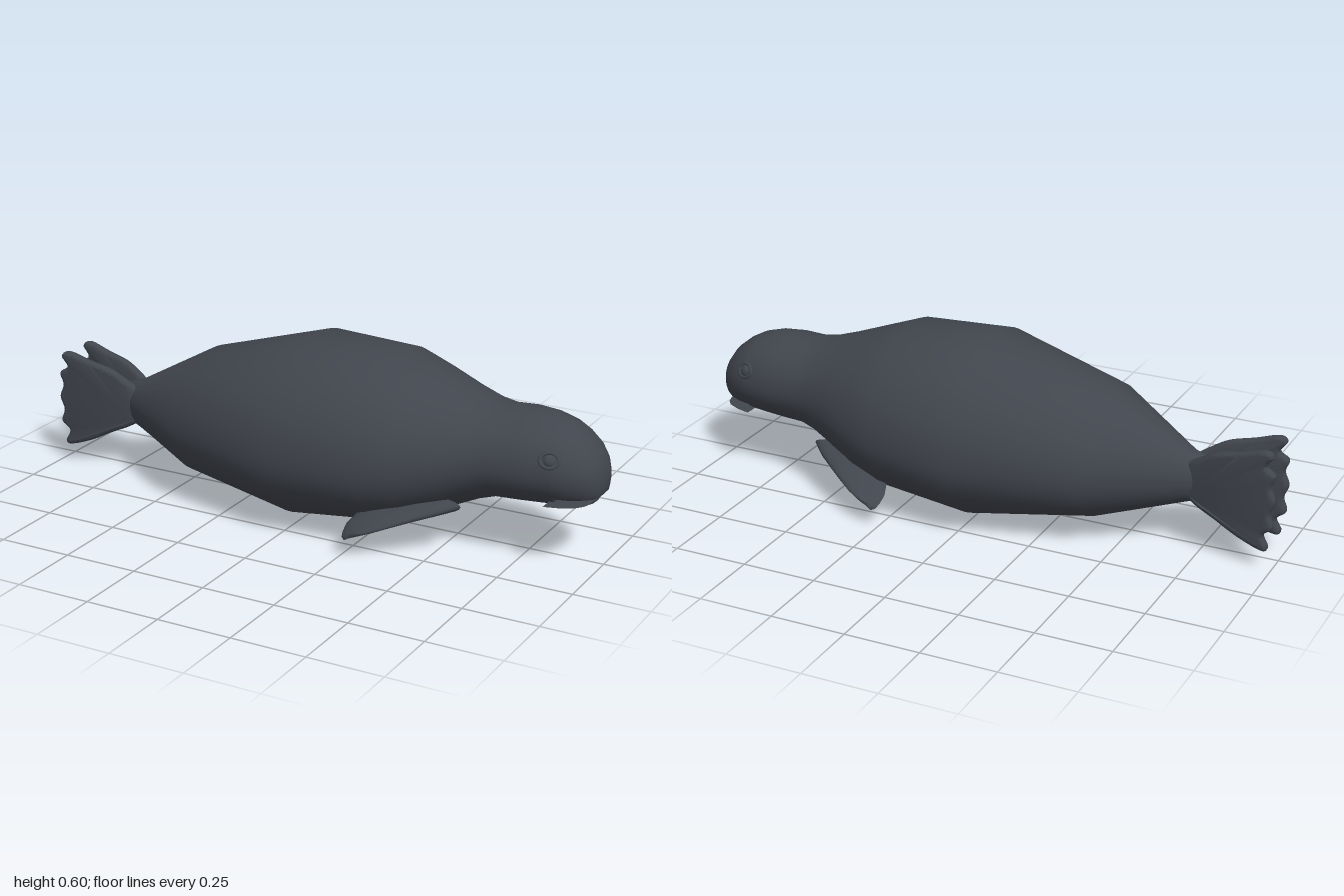
import * as THREE from 'three';
import { toCreasedNormals } from 'three/addons/utils/BufferGeometryUtils.js';

const skin = new THREE.MeshStandardMaterial({ color: 0x41454d });
skin.name = 'dark slate skin';

// Skin a list of rings (arrays of [x, y, z]) and close both ends
function loft(rings, flip = false, crease = 0.7) {
  const n = rings[0].length, pos = rings.flat(2), index = [];
  const tri = (a, b, c) => (flip ? index.push(a, c, b) : index.push(a, b, c));
  for (let i = 0; i < rings.length - 1; i++) {
    for (let j = 0; j < n; j++) {
      const a = i * n + j, b = i * n + (j + 1) % n;
      tri(a, a + n, b);
      tri(b, a + n, b + n);
    }
  }
  [0, rings.length - 1].forEach((r, end) => {
    const centre = pos.length / 3;
    for (let k = 0; k < 3; k++) pos.push(rings[r].reduce((s, p) => s + p[k], 0) / n);
    for (let j = 0; j < n; j++) {
      const a = r * n + j, b = r * n + (j + 1) % n;
      if (end) tri(centre, b, a); else tri(centre, a, b);
    }
  });
  const g = new THREE.BufferGeometry();
  g.setAttribute('position', new THREE.Float32BufferAttribute(pos, 3));
  g.setIndex(index);
  return toCreasedNormals(g, crease);
}

// Egg-shaped cross-section, cut off below lo and above hi
function section(x, top, bottom, mid, half, lo = -1, hi = 2) {
  return Array.from({ length: 56 }, (_, j) => {
    const t = (j / 56) * Math.PI * 2, s = Math.sin(t);
    const y = mid + s * (s > 0 ? top - mid : mid - bottom);
    return [x, Math.min(hi, Math.max(lo, y)), half * Math.cos(t)];
  });
}

export function createModel() {
  const model = new THREE.Group();
  model.name = 'seal';
  const add = (name, geometry, parent = model) => {
    const mesh = new THREE.Mesh(geometry, skin);
    mesh.name = name;
    parent.add(mesh);
    return mesh;
  };

  // Body and upper head: x, top, bottom, widest height, half width, mouth cut
  add('body', loft([
    [-0.79, 0.28, 0.2, 0.24, 0.012],
    [-0.75, 0.312, 0.165, 0.24, 0.04],
    [-0.7, 0.325, 0.152, 0.24, 0.068],
    [-0.42, 0.482, 0.065, 0.26, 0.255],
    [-0.01, 0.602, 0.002, 0.265, 0.355],
    [0.29, 0.59, 0.036, 0.275, 0.328],
    [0.4, 0.55, 0.07, 0.285, 0.29],
    [0.52, 0.507, 0.122, 0.3, 0.227],
    [0.6, 0.482, 0.158, 0.31, 0.19],
    [0.66, 0.472, 0.177, 0.315, 0.174],
    [0.74, 0.477, 0.181, 0.315, 0.17],
    [0.81, 0.472, 0.185, 0.315, 0.16],
    [0.865, 0.457, 0.188, 0.315, 0.148],
    [0.87, 0.455, 0.188, 0.315, 0.147, 0.234],
    [0.91, 0.434, 0.19, 0.31, 0.132, 0.234],
    [0.95, 0.402, 0.195, 0.305, 0.108, 0.234],
    [0.975, 0.369, 0.205, 0.297, 0.083, 0.235],
    [0.99, 0.337, 0.222, 0.287, 0.056, 0.238],
    [0.998, 0.307, 0.25, 0.28, 0.028],
    [1, 0.285, 0.27, 0.278, 0.008],
  ].map(r => section(...r))));

  // Lower jaw continues the throat below the mouth gap
  add('lowerJaw', loft([
    [0.85, 0.46, 0.187, 0.315, 0.15],
    [0.9, 0.44, 0.189, 0.31, 0.136],
    [0.94, 0.41, 0.194, 0.307, 0.114],
    [0.96, 0.39, 0.202, 0.3, 0.09],
    [0.97, 0.37, 0.211, 0.3, 0.06],
  ].map(r => section(...r, -1, 0.22))));

  // Scalloped outline of a hind flipper
  const outline = new THREE.Shape();
  outline.moveTo(-0.7, 0.18);
  outline.lineTo(-0.7, 0.3);
  outline.splineThru([
    [-0.74, 0.325], [-0.8, 0.358], [-0.88, 0.378], [-0.96, 0.4], [-0.987, 0.383], [-0.966, 0.348],
    [-0.996, 0.322], [-0.985, 0.28], [-0.999, 0.235], [-0.985, 0.19], [-0.996, 0.145],
    [-0.966, 0.115], [-0.982, 0.075], [-0.962, 0.062], [-0.88, 0.09], [-0.8, 0.13], [-0.74, 0.157],
    [-0.7, 0.18],
  ].map(p => new THREE.Vector2(...p)));

  for (const side of [1, -1]) {
    const word = side > 0 ? 'left' : 'right';

    // Hind flipper, spreading outward toward its tip
    const hind = new THREE.ExtrudeGeometry(outline, {
      depth: 0.008, curveSegments: 72, bevelThickness: 0.013, bevelSize: 0.014,
      bevelOffset: -0.014, bevelSegments: 3,
    });
    hind.translate(0, 0, -0.004);
    const p = hind.attributes.position;
    for (let i = 0; i < p.count; i++) {
      const out = Math.max(0, -0.7 - p.getX(i)) / 0.3;
      p.setZ(i, p.getZ(i) + side * (0.028 + 0.038 * Math.sqrt(out)));
    }
    add(word + 'HindFlipper', toCreasedNormals(hind, 0.8));

    // Front flipper: z, y, rear x, front x, half thickness
    add(word + 'FrontFlipper', loft([
      [0.16, 0.155, 0.32, 0.58, 0.03],
      [0.21, 0.143, 0.29, 0.53, 0.026],
      [0.25, 0.127, 0.262, 0.475, 0.021],
      [0.29, 0.107, 0.248, 0.415, 0.015],
      [0.32, 0.09, 0.25, 0.365, 0.011],
      [0.338, 0.079, 0.256, 0.325, 0.008],
      [0.346, 0.074, 0.268, 0.295, 0.004],
    ].map(([z, y, back, front, thick]) => Array.from({ length: 24 }, (_, j) => {
      const t = (j / 24) * Math.PI * 2;
      const c = Math.cos(t);
      return [(back + front) / 2 + c * (front - back) / 2, y + 0.012 * c + thick * Math.sin(t), side * z];
    })), side > 0, 1));

    // Eye: a low lid ring around a small eyeball
    const eye = new THREE.Group();
    eye.name = word + 'Eye';
    eye.position.set(0.86, 0.368, side * 0.136);
    eye.lookAt(0.86 + 0.32, 0.368 + 0.38, side * (0.136 + 0.85));
    add('eyelid', new THREE.TorusGeometry(0.026, 0.006, 8, 28), eye).scale.set(1.1, 0.9, 0.8);
    add('eyeball', new THREE.SphereGeometry(0.018, 20, 14), eye).scale.z = 0.45;
    model.add(eye);
  }
  return model;
}
